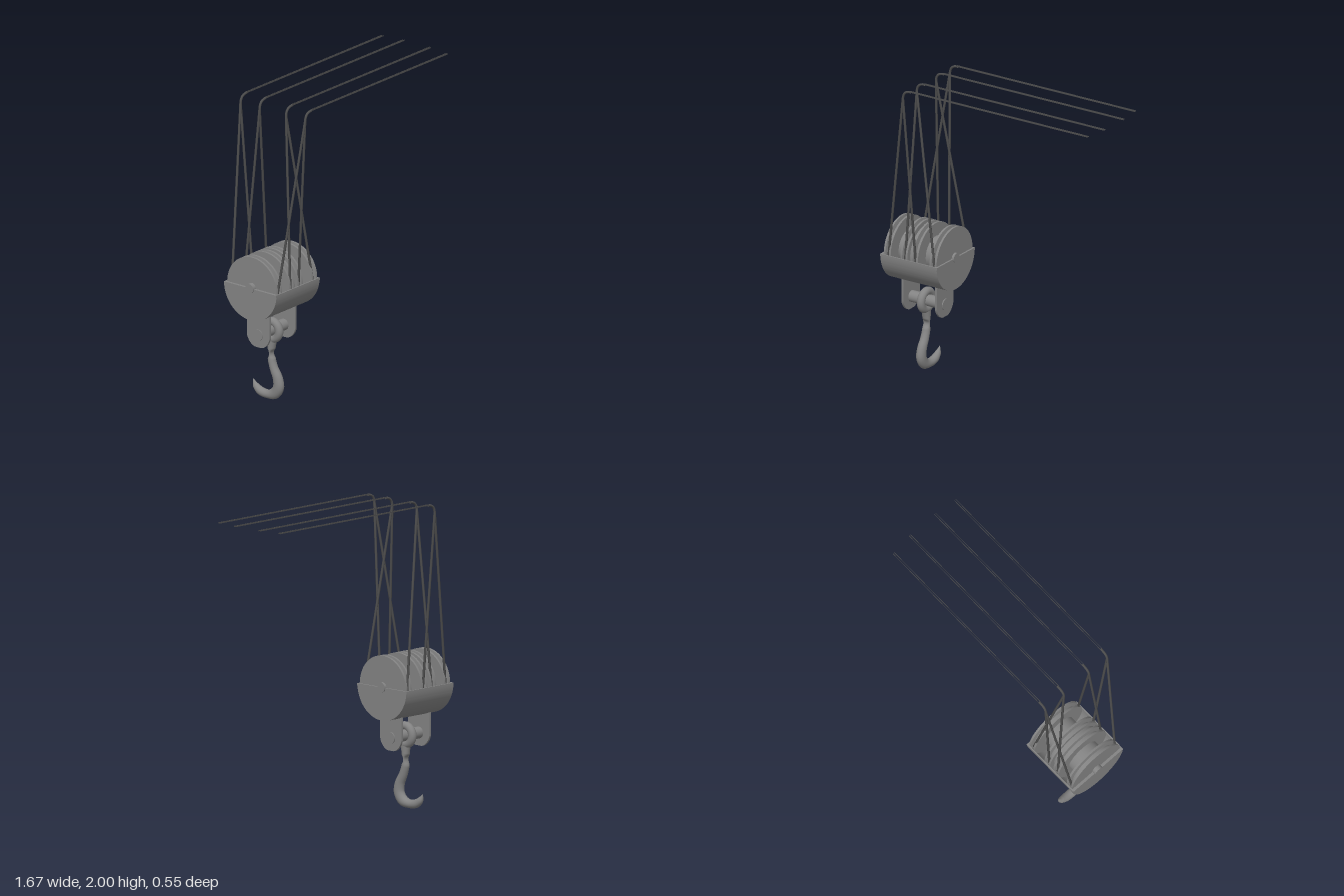
import * as THREE from 'three';
import { toCreasedNormals } from 'three/addons/utils/BufferGeometryUtils.js';

const CX = -0.613, CZ = -0.01, AXLE_Y = 0.808;

export function createModel() {
  const root = new THREE.Group();
  const steel = new THREE.MeshStandardMaterial({ color: 0x838383, side: THREE.DoubleSide });
  const cable = new THREE.MeshStandardMaterial({ color: 0x4c4c4c, side: THREE.DoubleSide });

  const add = (parent, name, geo, mat = steel) => {
    const mesh = new THREE.Mesh(geo, mat);
    mesh.name = name;
    parent.add(mesh);
    return mesh;
  };
  const group = (name) => {
    const g = new THREE.Group();
    g.name = name;
    root.add(g);
    return g;
  };
  // Cylinder lying along x from x0 to x1
  const rod = (parent, name, r, x0, x1, y) => {
    const geo = new THREE.CylinderGeometry(r, r, x1 - x0, 40).rotateZ(Math.PI / 2);
    add(parent, name, geo).position.set((x0 + x1) / 2, y, CZ);
  };
  // Side profile extruded along x from x0 to x1
  const plate = (parent, name, shape, x0, x1, y) => {
    const geo = new THREE.ExtrudeGeometry(shape, { depth: x1 - x0, bevelEnabled: false, curveSegments: 40 });
    add(parent, name, toCreasedNormals(geo.rotateY(Math.PI / 2), 0.6)).position.set(x0, y, CZ);
  };

  // Half-round housing: curved wall, a half disc and a slim top rail at each end
  const housing = group('housing');
  const wall = new THREE.Shape();
  wall.absarc(0, 0, 0.215, Math.PI, Math.PI * 2, false);
  wall.absarc(0, 0, 0.207, Math.PI * 2, Math.PI, true);
  const half = new THREE.Shape();
  half.absarc(0, 0, 0.215, Math.PI, Math.PI * 2, false);
  plate(housing, 'housingWall', wall, -0.812, -0.41, AXLE_Y);
  plate(housing, 'housingEnd', half, -0.827, -0.812, AXLE_Y);
  plate(housing, 'housingEnd', half, -0.41, -0.395, AXLE_Y);
  for (const x of [-0.827, -0.395]) {
    add(housing, 'endRail', new THREE.BoxGeometry(0.006, 0.016, 0.428)).position.set(x, AXLE_Y - 0.008, CZ);
  }

  // Axle, drum and four grooved sheaves
  const sheaves = group('sheaves');
  rod(sheaves, 'axle', 0.032, -0.837, -0.387, AXLE_Y);
  rod(sheaves, 'drum', 0.115, -0.78, -0.43, AXLE_Y);
  rod(sheaves, 'sheaveSpacer', 0.172, -0.63, -0.6, AXLE_Y);
  const sheaveX = [-0.782, -0.655, -0.574, -0.431];
  const sheaveProfile = [
    [0.03, -0.027], [0.203, -0.027], [0.203, -0.013], [0.172, -0.008],
    [0.172, 0.008], [0.203, 0.013], [0.203, 0.027], [0.03, 0.027],
  ].map(([r, h]) => new THREE.Vector2(r, h));
  for (const x of sheaveX) {
    const geo = toCreasedNormals(new THREE.LatheGeometry(sheaveProfile, 56), 0.4);
    add(sheaves, 'sheave', geo.rotateZ(Math.PI / 2)).position.set(x, AXLE_Y, CZ);
  }

  // Two hanging straps and the cross bolt
  const shackle = group('shackle');
  const strap = new THREE.Shape();
  strap.moveTo(-0.093, 0.17);
  strap.lineTo(-0.093, -0.01);
  strap.bezierCurveTo(-0.085, -0.05, -0.05, -0.084, -0.02, -0.084);
  strap.lineTo(0.02, -0.084);
  strap.bezierCurveTo(0.05, -0.084, 0.085, -0.05, 0.093, -0.01);
  strap.lineTo(0.093, 0.17);
  plate(shackle, 'strap', strap, -0.748, -0.733, 0.472);
  plate(shackle, 'strap', strap, -0.491, -0.476, 0.472);
  rod(shackle, 'bolt', 0.038, -0.753, -0.469, 0.472);

  // Hook: ring eye plus a tapering curved shank
  const hook = group('hook');
  const eye = new THREE.TorusGeometry(0.06, 0.027, 16, 40).rotateY(Math.PI / 2);
  add(hook, 'hookEye', eye).position.set(CX - 0.004, 0.472, -0.005);
  add(hook, 'hookShank', hookGeometry()).position.x = CX - 0.004;

  // Ropes: two falls share each upper bend, then run level as a pair of flat strands
  const ropes = group('ropes');
  const V = (x, y, z) => new THREE.Vector3(x, y, z);
  const runs = [
    { z: 0.265, sheaves: [0, 2], end: 0.81 },
    { z: 0.108, sheaves: [1, 3], end: 0.83 },
  ];
  const start = -0.56;
  for (const side of [1, -1]) {
    for (const run of runs) {
      const z = run.z * side;
      for (const s of run.sheaves) {
        const bend = V(CX, 1.94, z);
        const path = new THREE.CurvePath();
        path.add(new THREE.LineCurve3(V(sheaveX[s], AXLE_Y - 0.01, CZ + side * 0.187), bend));
        path.add(new THREE.CubicBezierCurve3(bend, V(CX + 0.004, 1.975, z),
          V(CX + 0.02, 1.992, z), V(-0.553, 1.993, z)));
        add(ropes, 'ropeFall', new THREE.TubeGeometry(path, 80, 0.008, 8), cable);
      }
      for (const off of [-0.006, 0.006]) {
        const strand = new THREE.BoxGeometry(run.end - start, 0.007, 0.0015);
        add(ropes, 'ropeStrand', strand, cable).position.set((run.end + start) / 2, 1.996, z + off);
      }
    }
  }
  return root;
}

// Sweep of oval sections along the hook's centre line
function hookGeometry() {
  // [z, y, in-plane radius, half width in x]
  const keys = [
    [-0.005, 0.405, 0.038, 0.027], [-0.007, 0.345, 0.025, 0.027], [-0.006, 0.28, 0.025, 0.027],
    [0.014, 0.215, 0.028, 0.028], [0.044, 0.155, 0.034, 0.03], [0.05, 0.095, 0.038, 0.031],
    [0.018, 0.048, 0.037, 0.031], [-0.04, 0.032, 0.028, 0.03], [-0.095, 0.039, 0.028, 0.028],
    [-0.134, 0.066, 0.022, 0.02], [-0.157, 0.108, 0.001, 0.002],
  ];
  const curve = new THREE.CatmullRomCurve3(keys.map(([z, y]) => new THREE.Vector3(0, y, z)));
  const radii = new THREE.CatmullRomCurve3(keys.map(([, , r, w]) => new THREE.Vector3(r, w, 0)));
  const X = new THREE.Vector3(1, 0, 0);
  const rings = 60, sides = 20, pos = [], index = [];
  for (let i = 0; i <= rings; i++) {
    const c = curve.getPoint(i / rings);
    const r = radii.getPoint(i / rings);
    const n = curve.getTangent(i / rings).cross(X);
    for (let j = 0; j < sides; j++) {
      const a = (j / sides) * Math.PI * 2;
      const s = Math.sin(a) * r.x;
      pos.push(Math.cos(a) * r.y, c.y + n.y * s, c.z + n.z * s);
      if (i === rings) continue;
      const p = i * sides + j, q = i * sides + ((j + 1) % sides);
      index.push(p, q, p + sides, q, q + sides, p + sides);
    }
  }
  const geo = new THREE.BufferGeometry();
  geo.setAttribute('position', new THREE.Float32BufferAttribute(pos, 3));
  geo.setIndex(index);
  geo.computeVertexNormals();
  return geo;
}
